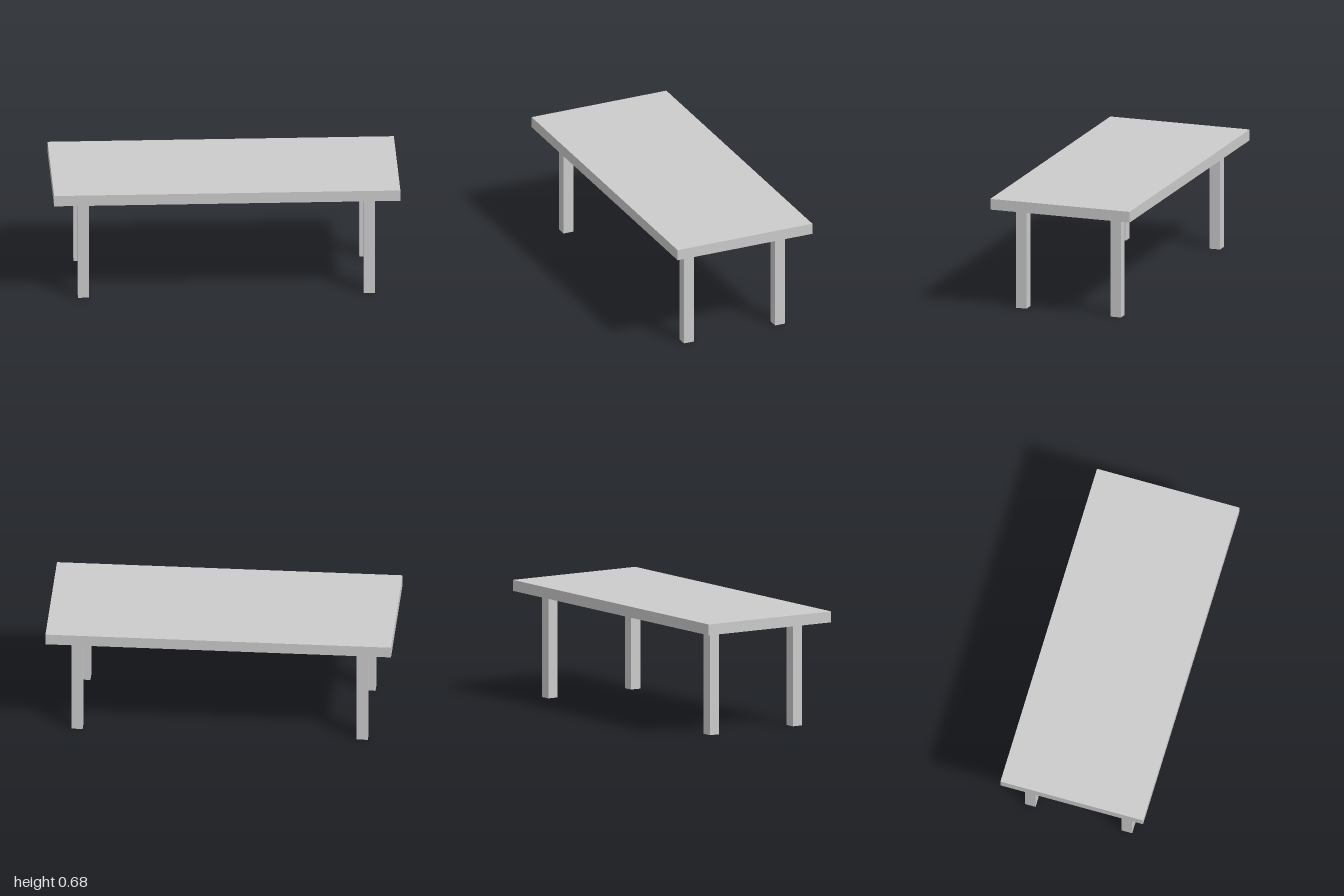
import * as THREE from 'three';

const TOP = { width: 2, height: 0.064, depth: 0.857 };
const LEG = { size: 0.064, height: 0.611, x: 0.825, z: 0.29 };

export function createModel() {
  const table = new THREE.Group();
  table.name = 'table';
  const material = new THREE.MeshStandardMaterial({ color: 0xcccccc });

  // Rectangular slab resting on the legs
  const top = new THREE.Mesh(new THREE.BoxGeometry(TOP.width, TOP.height, TOP.depth), material);
  top.name = 'tableTop';
  top.position.y = LEG.height + TOP.height / 2;
  table.add(top);

  // Four square legs, mirrored about both axes
  const legGeometry = new THREE.BoxGeometry(LEG.size, LEG.height, LEG.size);
  for (const [side, sx] of [['Left', 1], ['Right', -1]]) {
    for (const [end, sz] of [['front', 1], ['back', -1]]) {
      const leg = new THREE.Mesh(legGeometry, material);
      leg.name = `${end}${side}Leg`;
      leg.position.set(sx * LEG.x, LEG.height / 2, sz * LEG.z);
      table.add(leg);
    }
  }
  return table;
}
